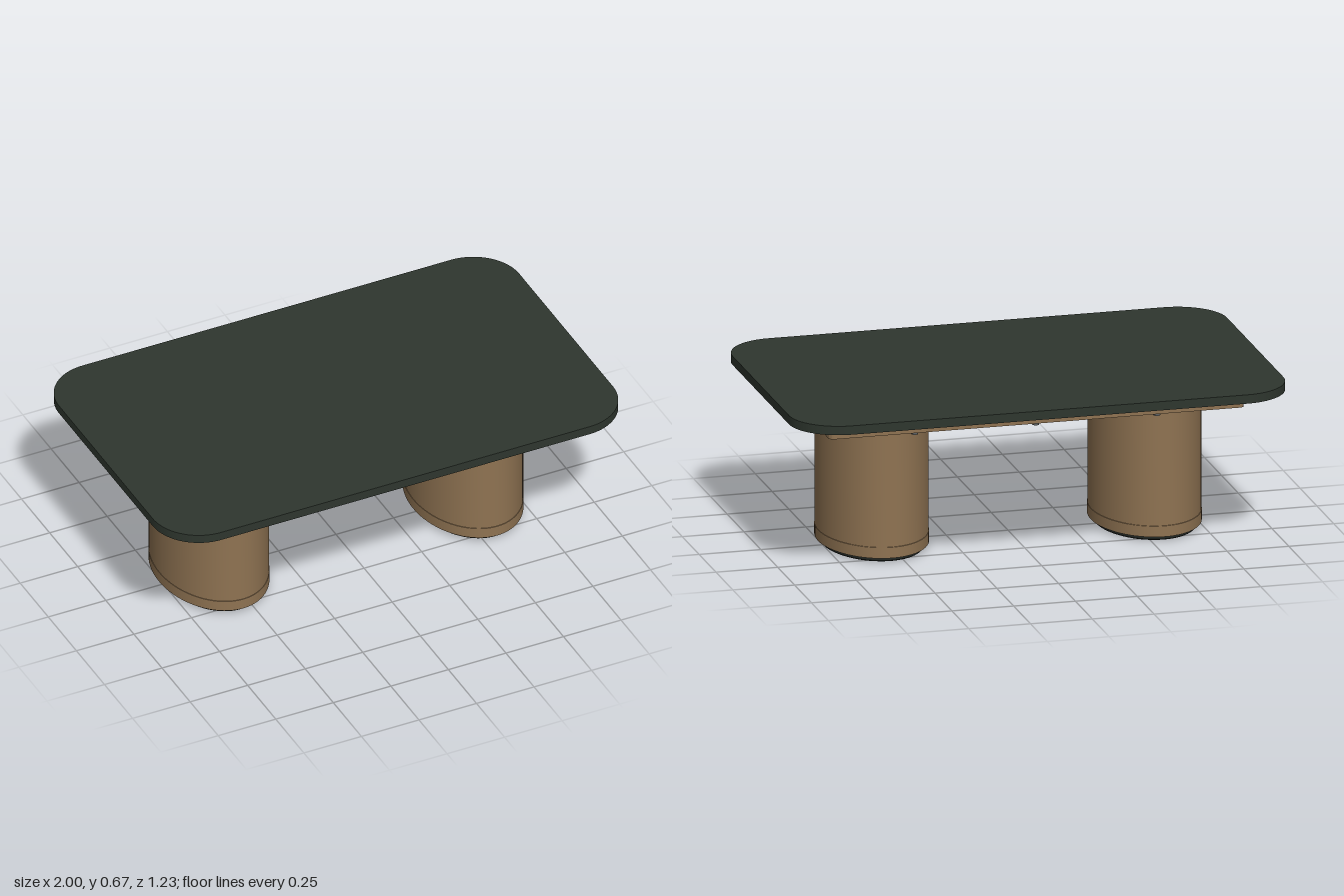
import * as THREE from 'three';
import { toCreasedNormals } from 'three/addons/utils/BufferGeometryUtils.js';

const mat = (name, color) => {
  const m = new THREE.MeshStandardMaterial({ color });
  m.name = name;
  return m;
};

// Rounded rectangle with half sizes hx, hz and corner radius r
function roundedRect(path, hx, hz, r) {
  path.moveTo(hx, -hz + r);
  path.absarc(hx - r, hz - r, r, 0, Math.PI / 2);
  path.absarc(-hx + r, hz - r, r, Math.PI / 2, Math.PI);
  path.absarc(-hx + r, -hz + r, r, Math.PI, Math.PI * 1.5);
  path.absarc(hx - r, -hz + r, r, Math.PI * 1.5, Math.PI * 2);
  return path;
}

// Extrude a plan shape upwards from y0 to y1
function slab(shape, y0, y1, curveSegments) {
  const g = new THREE.ExtrudeGeometry(shape, { depth: y1 - y0, bevelEnabled: false, curveSegments });
  g.rotateX(-Math.PI / 2);
  g.translate(0, y0, 0);
  return toCreasedNormals(g, 0.6);
}

// Elliptical solid turned from a profile of [radius factor, y]
function ellipticLathe(rx, rz, profile) {
  const g = new THREE.LatheGeometry(profile.map(([r, y]) => new THREE.Vector2(r, y)), 72);
  g.scale(rx, 1, rz);
  return toCreasedNormals(g, 0.6);
}

export function createModel() {
  const model = new THREE.Group();
  model.name = 'table';
  const topColor = mat('dark green top', 0x2e362e);
  const wood = mat('brown wood', 0x8f7352);
  const black = mat('black base', 0x232824);
  const steel = mat('grey steel', 0x5f6365);

  const add = (name, geometry, material, x = 0, y = 0, z = 0, parent = model) => {
    const mesh = new THREE.Mesh(geometry, material);
    mesh.name = name;
    mesh.position.set(x, y, z);
    parent.add(mesh);
    return mesh;
  };

  // Table top
  add('tableTop', slab(roundedRect(new THREE.Shape(), 1, 0.617, 0.2), 0.631, 0.667, 24), topColor);

  // Wooden frame under the top
  const frame = roundedRect(new THREE.Shape(), 0.84, 0.433, 0.02);
  frame.holes.push(roundedRect(new THREE.Path(), 0.795, 0.388, 0.004));
  add('frame', slab(frame, 0.56, 0.625, 4), wood);

  // Steel crossbars with their spacer pads and bolts
  const bar = new THREE.BoxGeometry(0.045, 0.045, 0.776);
  const pad = new THREE.BoxGeometry(0.075, 0.006, 0.055);
  const bolt = new THREE.CylinderGeometry(0.014, 0.014, 0.01, 16);
  for (const x of [-0.49, 0, 0.49]) {
    add('crossbar', bar, steel, x, 0.6025, 0);
    for (const z of [-0.41, 0.41]) {
      add('spacerPad', pad, black, x, 0.628, z);
      add('bolt', bolt, steel, x, 0.555, z);
    }
  }

  // Oval pedestals, each with a slim bottom band and a recessed foot
  const body = ellipticLathe(0.217, 0.305, [[0, 0.018], [1, 0.018], [1, 0.062], [0.995, 0.063], [0.995, 0.56], [0, 0.56]]);
  const foot = ellipticLathe(0.199, 0.287, [[0, 0], [0.985, 0], [1, 0.004], [1, 0.014], [0.985, 0.018], [0, 0.018]]);
  for (const side of [-1, 1]) {
    const pedestal = new THREE.Group();
    pedestal.name = side > 0 ? 'leftPedestal' : 'rightPedestal';
    pedestal.position.x = side * 0.552;
    add('pedestalBody', body, wood, 0, 0, 0, pedestal);
    add('pedestalFoot', foot, black, 0, 0, 0, pedestal);
    model.add(pedestal);
  }
  return model;
}
